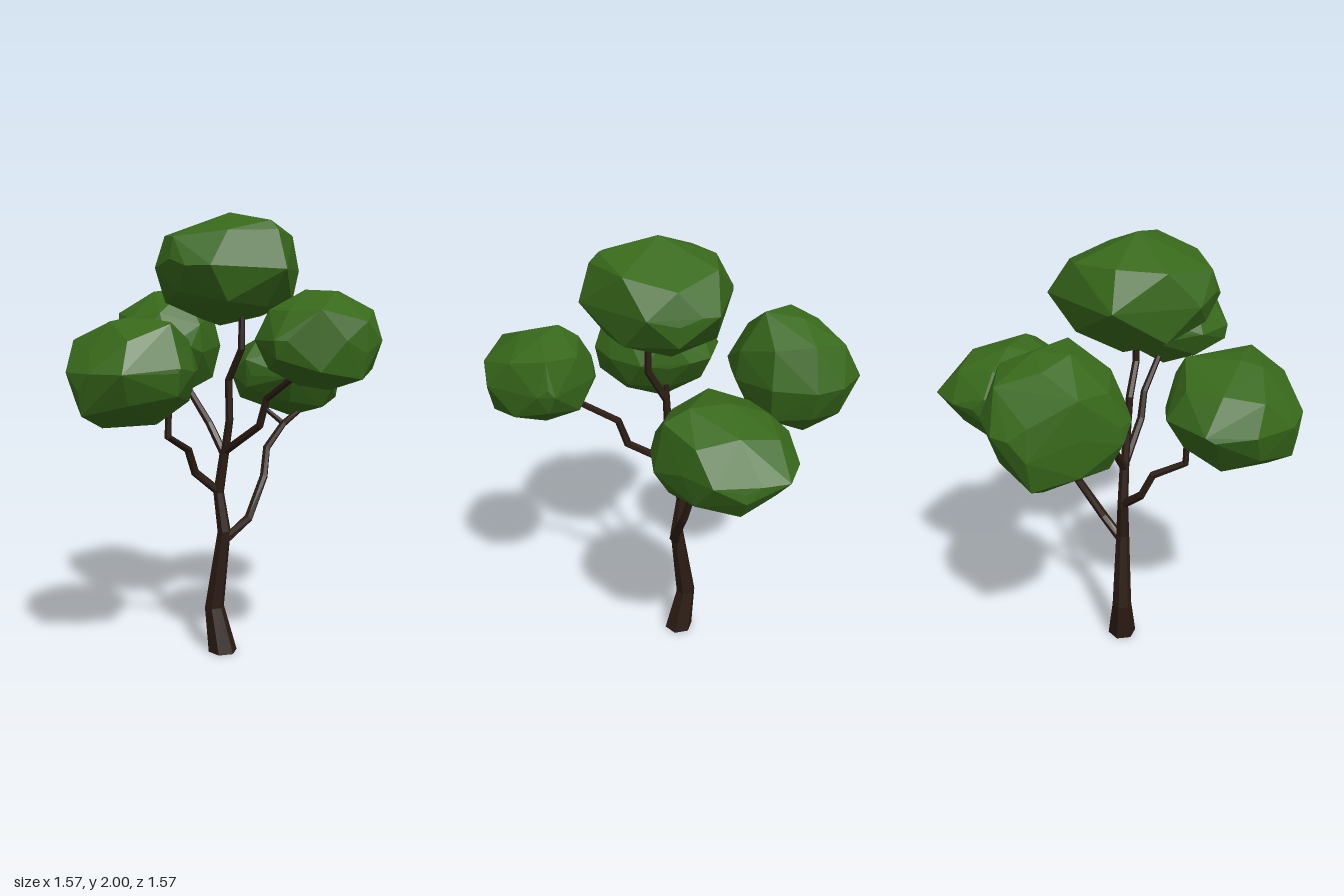
import * as THREE from 'three';
import { ConvexGeometry } from 'three/addons/geometries/ConvexGeometry.js';

const bark = new THREE.MeshStandardMaterial({ color: 0x2b1c13, flatShading: true });
const leaf = new THREE.MeshStandardMaterial({ color: 0x38691b, flatShading: true });

// Tapered six-sided limb along a path of [x, y, z, radius], closed at both ends
function limb(name, path, sides = 6) {
  const pts = path.map(([x, y, z]) => new THREE.Vector3(x, y, z));
  const ref = new THREE.Vector3(1, 0, 0);
  const pos = [], index = [];
  pts.forEach((p, i) => {
    const t = new THREE.Vector3();
    if (i > 0) t.add(p.clone().sub(pts[i - 1]).normalize());
    if (i < pts.length - 1) t.add(pts[i + 1].clone().sub(p).normalize());
    if (p.y === 0) t.set(0, 1, 0); // flat on the ground
    t.normalize();
    const u = t.clone().cross(ref).normalize();
    const v = t.clone().cross(u);
    for (let j = 0; j < sides; j++) {
      const a = (j / sides) * Math.PI * 2;
      const q = p.clone()
        .addScaledVector(u, Math.cos(a) * path[i][3])
        .addScaledVector(v, Math.sin(a) * path[i][3]);
      pos.push(q.x, q.y, q.z);
    }
  });
  const last = (pts.length - 1) * sides;
  for (let i = 0; i < last; i += sides) {
    for (let j = 0; j < sides; j++) {
      const k = (j + 1) % sides;
      index.push(i + j, i + k, i + sides + k, i + j, i + sides + k, i + sides + j);
    }
  }
  for (let j = 1; j < sides - 1; j++) {
    index.push(0, j + 1, j, last, last + j, last + j + 1);
  }
  const g = new THREE.BufferGeometry();
  g.setAttribute('position', new THREE.Float32BufferAttribute(pos, 3));
  g.setIndex(index);
  g.computeVertexNormals();
  const mesh = new THREE.Mesh(g, bark);
  mesh.name = name;
  return mesh;
}

// Faceted leaf clump: convex hull round three outlines (x,y), (z,y) and (x,z)
function clump(name, xy, zy, xz) {
  const range = (list) => [Math.min(...list), Math.max(...list)];
  const span = [range(xz.map((p) => p[0])), range(zy.map((p) => p[1])), range(xz.map((p) => p[1]))];
  const [cx, cy, cz] = span.map(([a, b]) => (a + b) / 2);
  const [rx, ry, rz] = span.map(([a, b]) => (b - a) / 2);
  const pts = [
    ...xy.map(([x, y]) => new THREE.Vector3(x, y, cz)),
    ...zy.map(([z, y]) => new THREE.Vector3(cx, y, z)),
    ...xz.map(([x, z]) => new THREE.Vector3(x, cy, z)),
  ];
  // fill the eight diagonal corners so that the clump stays plump
  for (const sx of [-1, 1]) for (const sy of [-1, 1]) for (const sz of [-1, 1]) {
    pts.push(new THREE.Vector3(cx + sx * rx * 0.59, cy + sy * ry * 0.59, cz + sz * rz * 0.59));
  }
  const mesh = new THREE.Mesh(new ConvexGeometry(pts), leaf);
  mesh.name = name;
  return mesh;
}

export function createModel() {
  const tree = new THREE.Group();
  tree.name = 'tree';

  // Trunk and branches
  tree.add(
    limb('trunk', [[-0.015, 0, -0.035, 0.068], [-0.03, 0.21, -0.075, 0.046], [-0.015, 0.58, -0.025, 0.031],
      [-0.025, 0.76, -0.05, 0.025], [-0.02, 0.96, -0.015, 0.022]]),
    limb('topBranch', [[-0.02, 0.94, -0.015, 0.02], [-0.02, 1.1, 0.015, 0.018], [-0.03, 1.28, 0.02, 0.017],
      [-0.03, 1.42, 0.1, 0.016], [-0.03, 1.6, 0.1, 0.014]]),
    limb('leftBranch', [[-0.01, 0.54, -0.02, 0.022], [0.1, 0.63, 0.02, 0.021], [0.22, 0.81, 0.005, 0.019],
      [0.26, 0.94, -0.015, 0.018], [0.35, 1.05, 0.01, 0.016], [0.47, 1.1, 0, 0.013]]),
    limb('leftTwig', [[0.36, 1.05, 0, 0.015], [0.35, 1.11, -0.1, 0.013], [0.4, 1.2, -0.14, 0.01]]),
    limb('rightBranch', [[-0.02, 0.76, -0.05, 0.02], [-0.13, 0.86, -0.095, 0.019], [-0.18, 0.97, -0.085, 0.018],
      [-0.32, 1.045, -0.06, 0.016], [-0.32, 1.22, -0.05, 0.014]]),
    limb('frontBranch', [[-0.02, 0.95, -0.02, 0.019], [-0.02, 1.09, 0.2, 0.018], [-0.02, 1.21, 0.24, 0.016],
      [-0.03, 1.33, 0.43, 0.014], [-0.03, 1.4, 0.5, 0.012]]),
    limb('backBranch', [[-0.02, 0.94, -0.02, 0.019], [-0.015, 1.07, -0.12, 0.018], [0, 1.2, -0.26, 0.016],
      [0.04, 1.32, -0.42, 0.013]]),
  );

  // Leaf clumps
  tree.add(
    clump('topClump',
      [[-0.05, 2], [-0.37, 1.88], [-0.39, 1.79], [-0.35, 1.66], [-0.26, 1.61], [-0.08, 1.53], [0.15, 1.56],
        [0.27, 1.64], [0.28, 1.73], [0.25, 1.86]],
      [[0.05, 2], [0.29, 1.95], [0.33, 1.91], [0.38, 1.75], [0.27, 1.6], [-0.01, 1.52], [-0.12, 1.545],
        [-0.28, 1.75], [-0.2, 1.91]],
      [[-0.07, -0.285], [0.28, -0.12], [0.28, -0.05], [0.265, 0.17], [-0.04, 0.37], [-0.34, 0.23],
        [-0.385, 0.13], [-0.365, -0.08]]),
    clump('rightClump',
      [[-0.53, 1.555], [-0.62, 1.54], [-0.725, 1.42], [-0.785, 1.27], [-0.77, 1.17], [-0.67, 1.115],
        [-0.54, 1.11], [-0.41, 1.12], [-0.32, 1.2], [-0.26, 1.32], [-0.26, 1.46], [-0.3, 1.535]],
      [[0.07, 1.55], [0.19, 1.53], [0.25, 1.36], [0.23, 1.25], [0.1, 1.13], [-0.22, 1.13], [-0.35, 1.32],
        [-0.26, 1.48]],
      [[-0.48, -0.355], [-0.29, -0.26], [-0.25, -0.15], [-0.27, 0.08], [-0.4, 0.2], [-0.53, 0.245],
        [-0.73, 0.155], [-0.785, 0.02], [-0.78, -0.14], [-0.67, -0.29]]),
    clump('leftClump',
      [[0.475, 1.49], [0.68, 1.44], [0.775, 1.26], [0.78, 1.22], [0.72, 1.13], [0.49, 1.075], [0.3, 1.14],
        [0.19, 1.23], [0.18, 1.36], [0.27, 1.46]],
      [[0.16, 1.44], [0.06, 1.49], [-0.11, 1.49], [-0.26, 1.43], [-0.35, 1.34], [-0.34, 1.21], [-0.3, 1.13],
        [-0.04, 1.08], [0.14, 1.13], [0.2, 1.23]],
      [[0.54, -0.355], [0.65, -0.335], [0.78, -0.25], [0.78, -0.14], [0.75, 0.04], [0.625, 0.125],
        [0.41, 0.195], [0.26, 0.14], [0.19, -0.05], [0.2, -0.19], [0.34, -0.3]]),
    clump('frontClump',
      [[-0.05, 1.655], [0.06, 1.66], [0.2, 1.61], [0.225, 1.5], [0.2, 1.39], [0.04, 1.28], [-0.12, 1.3],
        [-0.31, 1.4], [-0.32, 1.47], [-0.24, 1.58]],
      [[0.47, 1.665], [0.62, 1.65], [0.78, 1.54], [0.78, 1.42], [0.76, 1.32], [0.6, 1.27], [0.44, 1.28],
        [0.325, 1.42], [0.34, 1.52], [0.39, 1.61]],
      [[0.23, 0.53], [0.21, 0.6], [0.05, 0.78], [-0.13, 0.75], [-0.3, 0.6], [-0.32, 0.55], [-0.25, 0.385],
        [-0.05, 0.33], [0.07, 0.35]]),
    clump('backClump',
      [[0, 1.68], [0.15, 1.67], [0.3, 1.6], [0.345, 1.43], [0.31, 1.28], [0.23, 1.19], [0.05, 1.15],
        [-0.15, 1.23], [-0.21, 1.35], [-0.15, 1.55]],
      [[-0.38, 1.685], [-0.62, 1.635], [-0.76, 1.47], [-0.78, 1.34], [-0.75, 1.2], [-0.655, 1.15],
        [-0.34, 1.22], [-0.26, 1.39], [-0.275, 1.52]],
      [[0.14, -0.785], [0.22, -0.77], [0.33, -0.65], [0.36, -0.52], [0.28, -0.35], [0, -0.26],
        [-0.12, -0.285], [-0.215, -0.45], [-0.2, -0.53], [-0.1, -0.685]]),
  );
  return tree;
}
